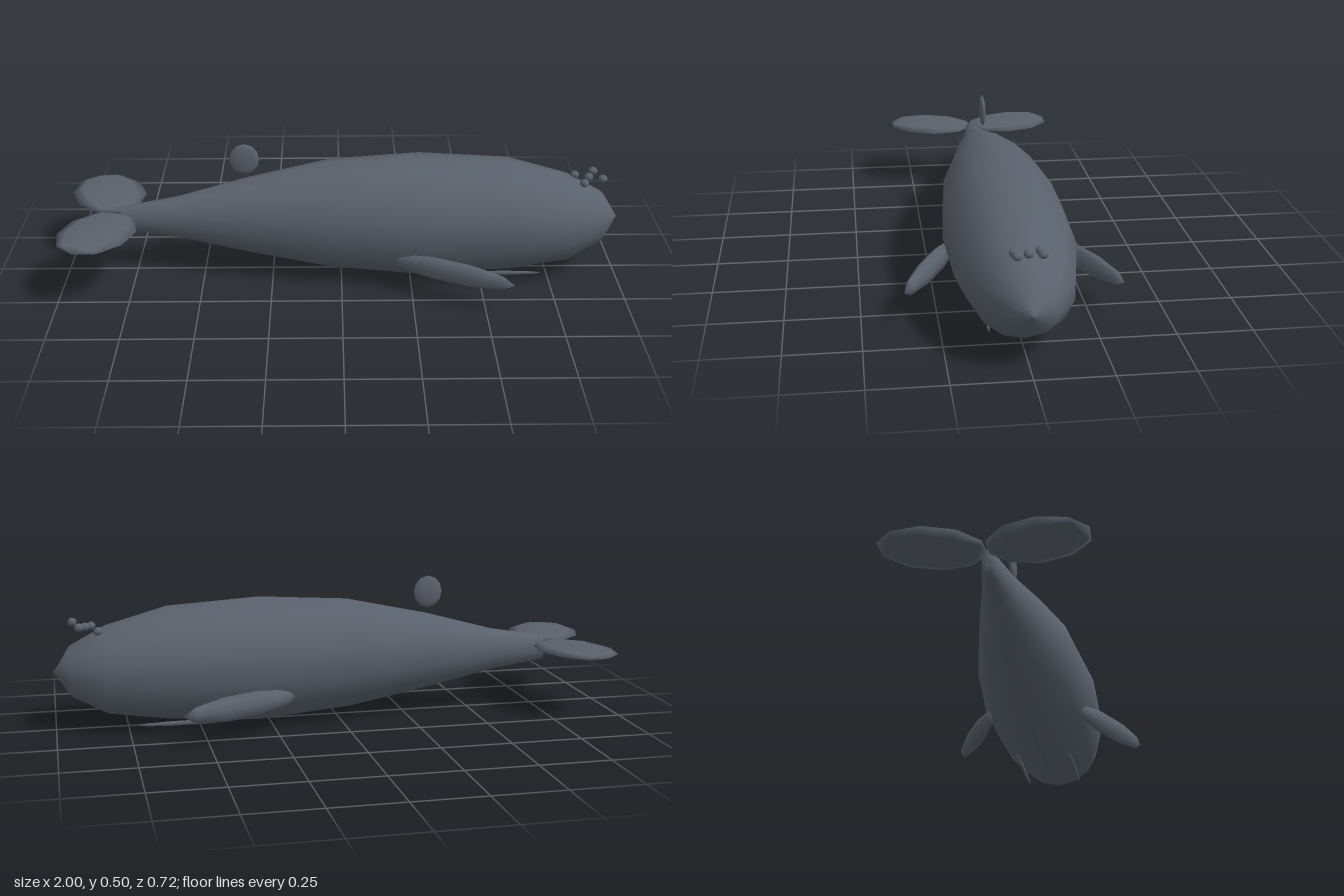
import * as THREE from 'three';

const skin = new THREE.MeshStandardMaterial({ color: 0x59616c });
skin.name = 'slate grey skin';

// Flattened ellipsoid whose poles lie on its long (x) axis, turned by yaw
function blob(name, pos, radii, yaw = 0, around = 8, along = 5) {
  const geo = new THREE.SphereGeometry(1, around, along);
  geo.rotateZ(-Math.PI / 2);
  geo.scale(...radii);
  const mesh = new THREE.Mesh(geo, skin);
  mesh.name = name;
  mesh.position.set(...pos);
  mesh.rotation.y = yaw;
  return mesh;
}

// Body skinned over oval rings: x, bottom y, top y, half width
function body() {
  const rings = [
    [-0.79, 0.21, 0.21, 0], [-0.795, 0.167, 0.258, 0.022], [-0.59, 0.138, 0.294, 0.06],
    [-0.34, 0.085, 0.363, 0.117], [-0.04, 0.03, 0.428, 0.18], [0.28, 0.003, 0.448, 0.212],
    [0.605, 0.022, 0.428, 0.203], [0.82, 0.053, 0.368, 0.16], [0.945, 0.122, 0.3, 0.093],
    [1, 0.21, 0.21, 0],
  ];
  const sides = 14, pos = [], index = [];
  rings.forEach(([x, lo, hi, w], i) => {
    for (let j = 0; j < sides; j++) {
      const a = (j / sides) * Math.PI * 2;
      pos.push(x, (lo + hi) / 2 + Math.cos(a) * (hi - lo) / 2, 0.003 + Math.sin(a) * w);
      if (i === 0) continue;
      const k = (j + 1) % sides;
      const p = (i - 1) * sides, q = i * sides;
      index.push(p + j, p + k, q + j, p + k, q + k, q + j);
    }
  });
  const geo = new THREE.BufferGeometry();
  geo.setAttribute('position', new THREE.Float32BufferAttribute(pos, 3));
  geo.setIndex(index);
  geo.computeVertexNormals();
  const mesh = new THREE.Mesh(geo, skin);
  mesh.name = 'body';
  return mesh;
}

export function createModel() {
  const whale = new THREE.Group();
  whale.name = 'whale';
  whale.add(body());

  // Mirrored fins, tail flukes and jaw lines
  for (const [side, s] of [['left', -1], ['right', 1]]) {
    whale.add(blob(side + 'Flipper', [0.38, 0.12, s * 0.257], [0.234, 0.045, 0.027], -s * 0.45));
    whale.add(blob(side + 'Fluke', [-0.86, 0.235, s * 0.163 + 0.004], [0.172, 0.017, 0.134], s * 1.22));
    whale.add(blob(side + 'JawLine', [0.55, 0.029, s * 0.1], [0.175, 0.009, 0.006]));
  }

  // Small fin above the back
  whale.add(blob('dorsalFin', [-0.345, 0.441, 0.003], [0.053, 0.059, 0.012], 0, 8, 6));

  // Spray droplets over the blowhole
  const spray = new THREE.Group();
  spray.name = 'spray';
  const drops = [[0.845, 0.356, -0.04], [0.91, 0.371, -0.038], [0.888, 0.365, 0.002],
    [0.866, 0.36, 0.043], [0.93, 0.376, 0.043]];
  for (const d of drops) spray.add(blob('droplet', d, [0.016, 0.015, 0.016], 0, 12, 8));
  whale.add(spray);
  return whale;
}
